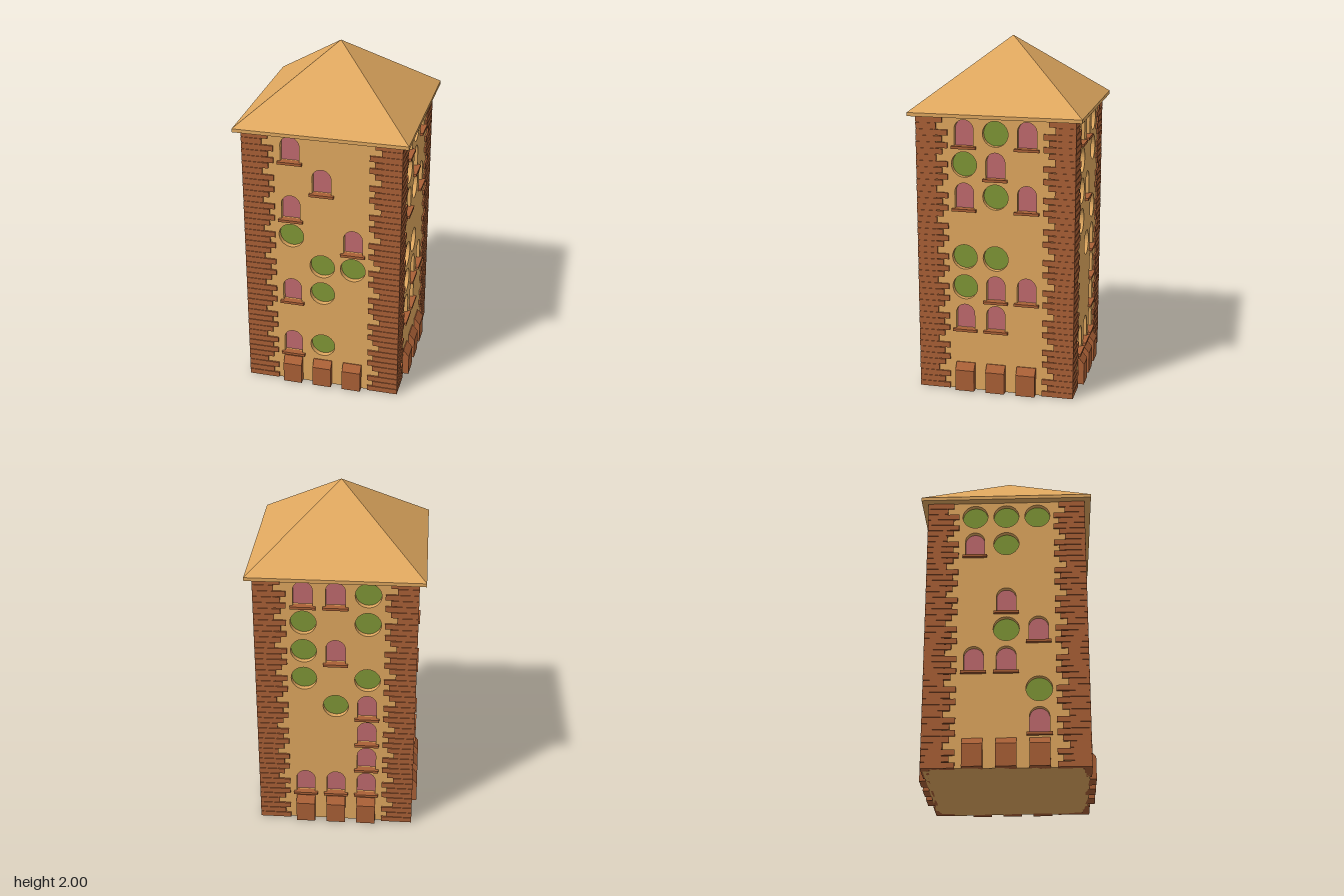
import * as THREE from 'three';
import { mergeGeometries } from 'three/addons/utils/BufferGeometryUtils.js';

const HEIGHT = 1.6, ROWS = 9, CELL = HEIGHT / ROWS, COLUMN = 0.178;
const WALL = 0.44, BRICK = 0.45, RECESS = 0.03;

const material = (color) => new THREE.MeshStandardMaterial({ color });
const plaster = material(0xe0a85f);
const brick = material(0xaa6036);
const pink = material(0xc06a6e);
const green = material(0x7f9636);

// Openings on each side, top storey first: a = arched window, o = round window
const SIDES = {
  front: ['a..', '.a.', 'a..', 'o.a', '.oo', 'ao.', '...', 'ao.'],
  right: ['aoa', 'oa.', 'aoa', '...', 'oo.', 'oaa', 'aa.', '...'],
  back: ['aao', 'o.o', 'oa.', 'o.o', '.oa', '..a', '..a', 'aaa'],
  left: ['ooo', 'ao.', '...', '.a.', '.oa', 'aa.', '..o', '..a'],
};

function add(parent, name, geometry, mat) {
  const mesh = new THREE.Mesh(geometry, mat);
  mesh.name = name;
  parent.add(mesh);
  return mesh;
}

function box(x0, x1, y0, y1, z0, z1) {
  return new THREE.BoxGeometry(x1 - x0, y1 - y0, z1 - z0)
    .translate((x0 + x1) / 2, (y0 + y1) / 2, (z0 + z1) / 2);
}

// Traces an opening on a Shape or a Path
function trace(path, kind, x, y) {
  if (kind === 'o') {
    path.absarc(x, y + CELL / 2, 0.072, 0, Math.PI * 2);
  } else {
    const r = 0.054, spring = y + 0.108;
    path.moveTo(x - r, y + 0.014);
    path.lineTo(x + r, y + 0.014);
    path.lineTo(x + r, spring);
    path.absarc(x, spring, r, 0, Math.PI);
    path.closePath();
  }
  return path;
}

// Toothed brick corners, the courses alternating in length
function quoinGeometry() {
  const inner = [0.27, 0.3, 0.27, 0.335, 0.3];
  const course = CELL / inner.length;
  const parts = [];
  for (const s of [-1, 1]) {
    for (let i = 0; i < ROWS * inner.length; i++) {
      const a = s * inner[i % inner.length], b = s * BRICK;
      parts.push(box(Math.min(a, b), Math.max(a, b),
        i * course, (i + 1) * course - 0.004, WALL - 0.02, BRICK));
    }
    // Mortar bed behind the courses
    parts.push(box(Math.min(s * 0.34, s * 0.446), Math.max(s * 0.34, s * 0.446),
      0, HEIGHT, WALL - 0.03, 0.446));
  }
  return mergeGeometries(parts);
}

// Pier with a sloping top, set against the wall foot
function buttressGeometry() {
  const profile = new THREE.Shape([
    [-0.42, 0], [-0.42, 0.165], [-0.444, 0.165], [-0.477, 0.125], [-0.477, 0],
  ].map(([x, y]) => new THREE.Vector2(x, y)));
  return new THREE.ExtrudeGeometry(profile, { depth: 0.11, bevelEnabled: false })
    .translate(0, 0, -0.055).rotateY(Math.PI / 2);
}

function makeSide(rows, quoins, buttress) {
  const side = new THREE.Group();
  const wall = new THREE.Shape([
    new THREE.Vector2(-0.4, 0), new THREE.Vector2(0.4, 0),
    new THREE.Vector2(0.4, HEIGHT), new THREE.Vector2(-0.4, HEIGHT),
  ]);

  rows.forEach((row, i) => [...row].forEach((kind, c) => {
    if (kind === '.') return;
    const x = (c - 1) * COLUMN, y = (ROWS - 1 - i) * CELL;
    wall.holes.push(trace(new THREE.Path(), kind, x, y));
    // Recessed pane
    const pane = add(side, kind === 'o' ? 'roundWindow' : 'archedWindow',
      new THREE.ShapeGeometry(trace(new THREE.Shape(), kind, x, y), 16),
      kind === 'o' ? green : pink);
    pane.position.z = WALL - RECESS;
    if (kind === 'a') {
      add(side, 'windowSill', box(x - 0.07, x + 0.07, y, y + 0.015, WALL - 0.02, 0.458), brick);
    }
  }));

  const panel = add(side, 'wallPanel', new THREE.ExtrudeGeometry(wall,
    { depth: RECESS + 0.005, bevelEnabled: false, curveSegments: 16 }), plaster);
  panel.position.z = WALL - RECESS - 0.005;

  add(side, 'cornerBricks', quoins, brick);
  for (const c of [-1, 0, 1]) {
    add(side, 'buttress', buttress, brick).position.x = c * COLUMN;
  }
  return side;
}

export function createModel() {
  const tower = new THREE.Group();
  tower.name = 'tower';

  // Inner core, also the floor
  add(tower, 'core', box(-0.406, 0.406, 0, HEIGHT, -0.406, 0.406), plaster);

  // Four sides
  const quoins = quoinGeometry(), buttress = buttressGeometry();
  const turn = { front: 0, right: 1, back: 2, left: 3 };
  for (const [name, rows] of Object.entries(SIDES)) {
    const side = makeSide(rows, quoins, buttress);
    // Named from the model's own left and right
    side.name = { front: 'front', right: 'left', back: 'back', left: 'right' }[name] + 'Side';
    side.rotation.y = turn[name] * Math.PI / 2;
    tower.add(side);
  }

  // Roof: eaves slab and pyramid
  const half = 0.487;
  add(tower, 'eaves', box(-half, half, HEIGHT, 1.62, -half, half), plaster);
  const roof = new THREE.ConeGeometry(half * Math.SQRT2, 0.38, 4, 1, true)
    .rotateY(Math.PI / 4).translate(0, 1.81, 0).toNonIndexed();
  roof.computeVertexNormals();
  add(tower, 'roof', roof, plaster);

  return tower;
}
